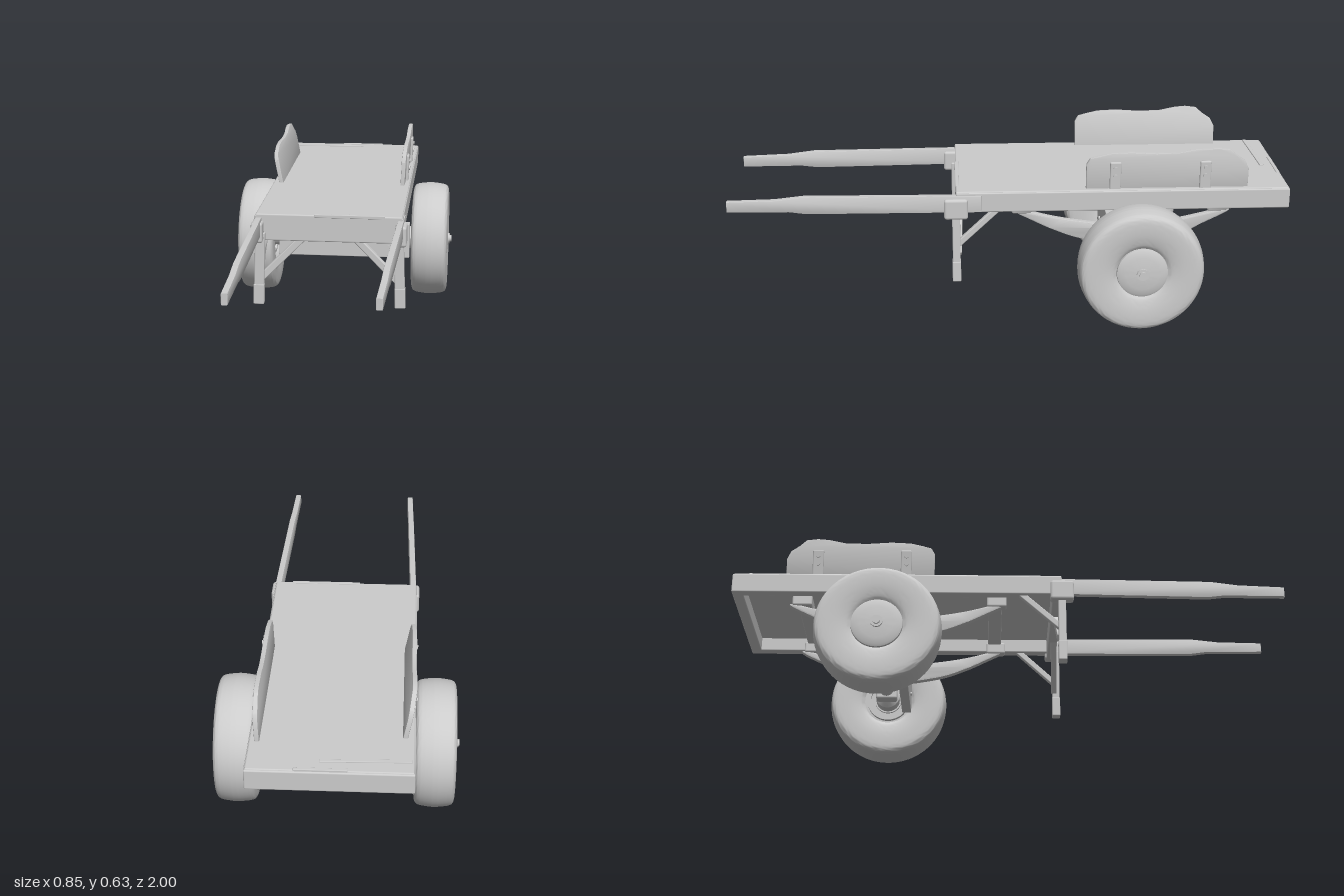
import * as THREE from 'three';
import { RoundedBoxGeometry } from 'three/addons/geometries/RoundedBoxGeometry.js';
import { toCreasedNormals } from 'three/addons/utils/BufferGeometryUtils.js';

const mat = new THREE.MeshStandardMaterial({ color: 0xcccccc, side: THREE.DoubleSide });
const V = (x, y, z) => new THREE.Vector3(x, y, z);

function add(parent, name, geo, x = 0, y = 0, z = 0) {
  const m = new THREE.Mesh(geo, mat);
  m.name = name;
  m.position.set(x, y, z);
  parent.add(m);
  return m;
}

// Softened box given by its min and max corners
function block(parent, name, x0, x1, y0, y1, z0, z1, r = 0.005) {
  const geo = new RoundedBoxGeometry(x1 - x0, y1 - y0, z1 - z0, 2, r);
  return add(parent, name, geo, (x0 + x1) / 2, (y0 + y1) / 2, (z0 + z1) / 2);
}

// Straight timber between two points
function strut(parent, name, a, b, w, h) {
  const m = add(parent, name, new RoundedBoxGeometry(w, h, a.distanceTo(b), 2, 0.004));
  m.position.copy(a).add(b).multiplyScalar(0.5);
  m.lookAt(b);
  return m;
}

// Side silhouette of [z, y] points, extruded across x and centred on x = 0
function sideProfile(points, width, bevel = 0.003, smooth = false) {
  const p = points.map(([z, y]) => new THREE.Vector2(z, y));
  const shape = new THREE.Shape();
  if (smooth) {
    shape.moveTo(p[0].x, p[0].y);
    shape.splineThru(p.slice(1));
    shape.closePath();
  } else shape.setFromPoints(p);
  const depth = width - 2 * bevel;
  const geo = new THREE.ExtrudeGeometry(shape, {
    depth, bevelEnabled: true, bevelSize: bevel, bevelOffset: -bevel,
    bevelThickness: bevel, bevelSegments: 2, curveSegments: 40,
  });
  geo.translate(0, 0, -depth / 2);
  geo.rotateY(-Math.PI / 2);
  return toCreasedNormals(geo, 0.6);
}

// Turned part about the x axis from [radius, x] points
function turned(points, segments = 48) {
  const geo = new THREE.LatheGeometry(points.map(([r, x]) => new THREE.Vector2(r, x)), segments);
  geo.rotateZ(-Math.PI / 2);
  return toCreasedNormals(geo, 0.7);
}

function bolt(parent, x, y, z, axis, r = 0.007, h = 0.008) {
  const geo = new THREE.CylinderGeometry(r, r, h, 12);
  if (axis === 'x') geo.rotateZ(Math.PI / 2);
  else geo.rotateX(Math.PI / 2);
  add(parent, 'bolt', geo, x, y, z);
}

const AXLE_Y = 0.225, AXLE_Z = -0.462;

function buildBed(root) {
  const bed = new THREE.Group();
  bed.name = 'bed';
  root.add(bed);
  block(bed, 'deck', -0.268, 0.262, 0.462, 0.487, -0.995, 0.19);
  for (const s of [-1, 1]) {
    const x = s * 0.25 - 0.003;
    block(bed, 'sideBeam', x - 0.018, x + 0.018, 0.41, 0.483, -1, 0.19);
  }
  block(bed, 'frontBeam', -0.262, 0.262, 0.388, 0.478, 0.155, 0.19);
  block(bed, 'rearBeam', -0.27, 0.264, 0.41, 0.483, -1, -0.96);
  for (const z of [-0.75, -0.4, -0.05]) block(bed, 'crossBeam', -0.25, 0.25, 0.42, 0.47, z - 0.025, z + 0.025);
  // Raised slat and edge strips on the deck
  const slat = block(bed, 'rearSlat', -0.26, 0.03, 0.48, 0.491, -0.947, -0.933, 0.002);
  slat.rotation.y = 0.03;
  block(bed, 'rearEdgeStrip', -0.06, 0.11, 0.478, 0.49, -0.995, -0.982, 0.002);
  block(bed, 'frontEdgeStrip', -0.055, 0.2, 0.478, 0.49, 0.178, 0.192, 0.002);
}

function buildHandlesAndLegs(root, s) {
  const handle = add(root, 'handle', sideProfile([
    [0.1, 0.412], [0.72, 0.409], [0.78, 0.417], [1, 0.418],
    [1, 0.456], [0.83, 0.461], [0.73, 0.473], [0.1, 0.474],
  ], 0.022), s * 0.261);
  handle.rotation.y = -s * 0.022;

  // Leg with its clamp and braces
  const leg = new THREE.Group();
  leg.name = 'legAssembly';
  root.add(leg);
  strut(leg, 'leg', V(s * 0.25, 0.42, 0.19), V(s * 0.259, 0.15, 0.19), 0.028, 0.036);
  strut(leg, 'legFoot', V(s * 0.257, 0.225, 0.19), V(s * 0.259, 0.148, 0.19), 0.031, 0.039);
  const x = s * 0.259;
  block(leg, 'clamp', x - 0.021, x + 0.021, 0.387, 0.463, 0.148, 0.233, 0.01);
  strut(leg, 'crossBrace', V(s * 0.25, 0.245, 0.182), V(s * 0.085, 0.412, 0.175), 0.022, 0.026);
  strut(leg, 'rearBrace', V(s * 0.252, 0.285, 0.185), V(s * 0.247, 0.42, 0.04), 0.02, 0.022);
}

function buildSideBoard(root, s) {
  const board = new THREE.Group();
  board.name = 'sideBoard';
  board.position.set(s * 0.236, 0.48, 0);
  board.rotation.z = s < 0 ? 0.19 : -0.04;
  root.add(board);
  const back = s < 0 ? -0.81 : -0.85;
  add(board, 'boardPanel', sideProfile([
    [-0.272, 0], [-0.272, 0.098], [-0.285, 0.12], [-0.315, 0.128], [-0.36, 0.138], [-0.43, 0.141],
    [-0.52, 0.135], [-0.6, 0.137], [-0.66, 0.149], [back + 0.11, 0.152], [back + 0.07, 0.147],
    [back + 0.045, 0.125], [back + 0.015, 0.105], [back, 0.075], [back, 0],
  ], 0.016));
  // Bolted straps on the outer face
  for (const z of [-0.375, -0.695]) {
    block(board, 'strap', s * 0.011 - 0.006, s * 0.011 + 0.006, -0.01, 0.108, z - 0.02, z + 0.02, 0.005);
    for (const y of [0.055, 0.085]) bolt(board, s * 0.018, y, z, 'x', 0.008);
  }
}

function buildSpring(root, s) {
  const x = s * 0.202;
  add(root, 'leafSpring', sideProfile([
    [-0.01, 0.392], [-0.07, 0.362], [-0.16, 0.318], [-0.27, 0.28], [-0.46, 0.255], [-0.6, 0.285],
    [-0.7, 0.335], [-0.785, 0.378], [-0.785, 0.392], [-0.7, 0.372], [-0.6, 0.35],
    [-0.46, 0.325], [-0.27, 0.347], [-0.16, 0.366], [-0.07, 0.39],
  ], 0.026, 0.005, true), x);
  for (const z of [-0.045, -0.75]) block(root, 'springMount', x - 0.018, x + 0.018, 0.384, 0.43, z - 0.036, z + 0.036, 0.008);
  block(root, 'springSaddle', x - 0.022, x + 0.022, 0.19, 0.3, AXLE_Z - 0.04, AXLE_Z + 0.04, 0.008);
}

function buildAxle(root) {
  const axle = new THREE.Group();
  axle.name = 'axle';
  axle.position.set(0, AXLE_Y, AXLE_Z);
  root.add(axle);
  add(axle, 'axleTube', turned([
    [0.045, -0.29], [0.045, -0.25], [0.026, -0.235], [0.026, -0.08], [0.045, -0.05],
    [0.045, 0.05], [0.026, 0.08], [0.026, 0.235], [0.045, 0.25], [0.045, 0.29],
  ], 24));
  const housing = new THREE.CylinderGeometry(0.06, 0.06, 0.09, 24);
  housing.rotateX(Math.PI / 2);
  add(axle, 'axleHousing', toCreasedNormals(housing, 0.6), 0, 0, -0.025);
  // Upright plank ahead of the axle
  block(root, 'axlePlank', -0.262, 0.262, 0.164, 0.305, -0.405, -0.37, 0.003);
  for (const x of [-0.17, 0.178]) for (const y of [0.208, 0.259]) bolt(root, x, y, -0.368, 'z');
}

function buildWheel(root, s) {
  const wheel = new THREE.Group();
  wheel.name = 'wheel';
  wheel.position.set(s * 0.342, AXLE_Y, AXLE_Z);
  wheel.rotation.y = s < 0 ? Math.PI : 0;
  root.add(wheel);
  const tyre = new THREE.SplineCurve([
    [0.09, -0.05], [0.105, -0.062], [0.14, -0.07], [0.18, -0.071], [0.207, -0.067], [0.218, -0.054],
    [0.223, -0.025], [0.225, 0], [0.223, 0.025], [0.218, 0.054], [0.207, 0.067],
    [0.18, 0.071], [0.14, 0.069], [0.105, 0.061], [0.088, 0.05],
  ].map(([r, x]) => new THREE.Vector2(r, x))).getPoints(56).map((p) => [p.x, p.y]);
  add(wheel, 'tyre', turned(tyre, 64));
  add(wheel, 'hubCap', turned([
    [0.092, 0.045], [0.09, 0.06], [0.082, 0.064], [0.06, 0.068], [0.03, 0.071], [0, 0.072],
  ]));
  add(wheel, 'innerRim', turned([
    [0, -0.052], [0.05, -0.052], [0.05, -0.044], [0.068, -0.044], [0.068, -0.054],
    [0.08, -0.054], [0.08, -0.04], [0.1, -0.04],
  ]));
  bolt(wheel, 0.074, 0, 0, 'x', 0.022, 0.008);
  bolt(wheel, 0.077, 0, 0, 'x', 0.013, 0.016);
}

export function createModel() {
  const root = new THREE.Group();
  root.name = 'handcart';
  buildBed(root);
  buildAxle(root);
  for (const s of [-1, 1]) {
    buildHandlesAndLegs(root, s);
    buildSideBoard(root, s);
    buildSpring(root, s);
    buildWheel(root, s);
  }
  return root;
}
